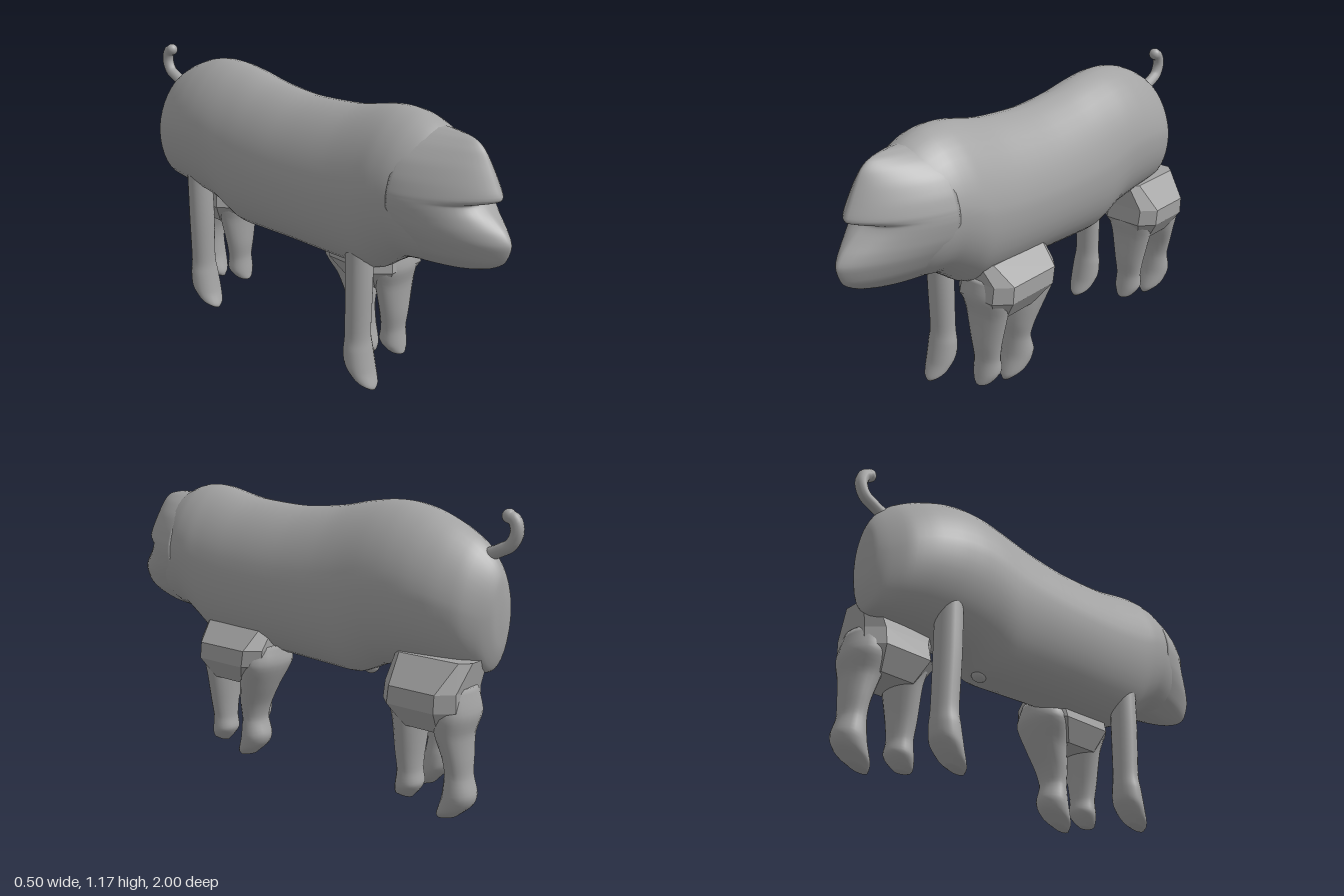
import * as THREE from 'three';

const hide = new THREE.MeshStandardMaterial({ color: 0xa3a3a3 });
hide.name = 'grey hide';
const V = (x, y, z) => new THREE.Vector3(x, y, z);
const CX = -0.013; // the trunk sits slightly off centre

// Refine key rings with a smooth curve down every column.
function refine(rows, n) {
  const columns = rows[0].map((_, i) => new THREE.CatmullRomCurve3(rows.map(r => r[i]), false, 'catmullrom', 0.4));
  return Array.from({ length: n + 1 }, (_, k) => columns.map(c => c.getPoint(k / n)));
}

// Skin closed rings, cap both ends, and turn the faces outward.
function skin(rows, flat = false) {
  const n = rows[0].length;
  const pts = rows.flat();
  const idx = [];
  for (let j = 0; j < rows.length - 1; j++) {
    for (let i = 0; i < n; i++) {
      const a = j * n + i, b = j * n + (i + 1) % n;
      idx.push(a, b, a + n, b, b + n, a + n);
    }
  }
  for (const [j, first] of [[0, true], [rows.length - 1, false]]) {
    const c = pts.length;
    pts.push(rows[j].reduce((s, p) => s.add(p), V(0, 0, 0)).divideScalar(n));
    for (let i = 0; i < n; i++) {
      const a = j * n + i, b = j * n + (i + 1) % n;
      idx.push(...(first ? [c, b, a] : [c, a, b]));
    }
  }
  const mid = pts.reduce((s, p) => s.add(p), V(0, 0, 0)).divideScalar(pts.length);
  let volume = 0;
  for (let i = 0; i < idx.length; i += 3) {
    const [a, b, c] = [0, 1, 2].map(k => pts[idx[i + k]].clone().sub(mid));
    volume += a.dot(b.cross(c));
  }
  if (volume < 0) idx.reverse();
  let geo = new THREE.BufferGeometry().setFromPoints(pts);
  geo.setIndex(idx);
  if (flat) geo = geo.toNonIndexed();
  geo.computeVertexNormals();
  return geo;
}

function add(group, name, geo) {
  const mesh = new THREE.Mesh(geo, hide);
  mesh.name = name;
  group.add(mesh);
}

// Trunk: egg-shaped sections [z, top, bottom, half width].
function trunk() {
  const keys = [
    [0.76, 0.98, 0.74, 0.08], [0.73, 1.09, 0.65, 0.16], [0.66, 1.14, 0.62, 0.2],
    [0.58, 1.17, 0.605, 0.222], [0.5, 1.178, 0.555, 0.234], [0.42, 1.17, 0.505, 0.237],
    [0.25, 1.135, 0.495, 0.239], [0, 1.12, 0.49, 0.24], [-0.2, 1.137, 0.48, 0.24],
    [-0.33, 1.162, 0.478, 0.24], [-0.45, 1.177, 0.53, 0.239], [-0.55, 1.175, 0.55, 0.237],
    [-0.65, 1.152, 0.56, 0.228], [-0.75, 1.11, 0.565, 0.205], [-0.84, 1.055, 0.565, 0.165],
    [-0.9, 0.99, 0.58, 0.11], [-0.93, 0.93, 0.66, 0.065], [-0.94, 0.85, 0.76, 0.015]];
  const rows = keys.map(([z, top, bottom, w]) => {
    const mid = bottom + (top - bottom) * 0.5;
    return Array.from({ length: 40 }, (_, i) => {
      const a = i / 40 * Math.PI * 2, c = Math.cos(a), s = Math.sin(a);
      const p = s > 0 ? 2 / 1.75 : 0.97;
      return V(CX + w * Math.sign(c) * Math.abs(c) ** p,
        mid + (top - bottom) / 2 * Math.sign(s) * Math.abs(s) ** p, z);
    });
  });
  return skin(refine(rows, 68));
}

// Head: level slices [y, front z, half width, mouth notch depth].
function head() {
  const keys = [
    [0.615, 0.72, 0.04, 0], [0.63, 0.83, 0.07, 0], [0.66, 0.92, 0.105, 0], [0.7, 0.978, 0.145, 0],
    [0.765, 1, 0.185, 0], [0.81, 0.985, 0.205, 0.012], [0.85, 0.97, 0.214, 0.045],
    [0.88, 0.96, 0.218, 0.075], [0.9, 0.955, 0.218, 0.085], [0.912, 0.95, 0.217, 0.03],
    [0.93, 0.945, 0.214, 0], [0.98, 0.922, 0.198, 0], [1.04, 0.89, 0.165, 0],
    [1.09, 0.86, 0.115, 0], [1.12, 0.82, 0.065, 0], [1.134, 0.75, 0.025, 0]];
  const rows = keys.map(([y, front, w, notch]) => {
    const ring = [];
    for (let i = 0; i <= 28; i++) {
      const a = (i / 28 - 0.5) * Math.PI, c = Math.max(0, Math.cos(a)), s = Math.sin(a);
      ring.push(V(CX + w * Math.sign(s) * Math.abs(s) ** 1.4, y,
        0.6 + (front - 0.6) * c ** 1.4 - notch * c ** 5));
    }
    ring.push(V(CX + w * 0.5, y, 0.56), V(CX - w * 0.5, y, 0.56));
    return ring;
  });
  return skin(refine(rows, 60));
}

// Limb: oval rings [y, x, z, x radius, z radius, toe tilt].
function limb(keys, dz = 0) {
  const rows = keys.map(([y, x, z, rx, rz, tilt = 0]) => Array.from({ length: 20 }, (_, i) => {
    const a = i / 20 * Math.PI * 2;
    return V(x + rx * Math.cos(a), y - tilt * Math.sin(a), z + dz + rz * Math.sin(a));
  }));
  return skin(refine(rows, 32));
}

// Faceted block where a pair of limbs meets the trunk: [y, x0, x1, z0, z1].
function block(keys) {
  return skin(keys.map(([y, x0, x1, z0, z1]) => {
    const b = Math.min(x1 - x0, z1 - z0) * 0.2;
    return [V(x1, y, z0 + b), V(x1, y, z1 - b), V(x1 - b, y, z1), V(x0 + b, y, z1),
      V(x0, y, z1 - b), V(x0, y, z0 + b), V(x0 + b, y, z0), V(x1 - b, y, z0)];
  }), true);
}

export function createModel() {
  const model = new THREE.Group();
  model.name = 'pig';
  add(model, 'trunk', trunk());
  add(model, 'head', head());

  // Curled tail with a round tip
  const curl = new THREE.CatmullRomCurve3([V(CX, 1.0, -0.85), V(CX, 1.025, -0.91), V(CX, 1.05, -0.955),
    V(CX, 1.095, -0.975), V(CX, 1.135, -0.965), V(CX, 1.15, -0.94)]);
  add(model, 'tail', new THREE.TubeGeometry(curl, 28, 0.025, 12));
  const tip = new THREE.SphereGeometry(0.026, 14, 10);
  tip.translate(CX, 1.15, -0.94);
  add(model, 'tailTip', tip);

  // Small bump under the belly
  const bump = new THREE.SphereGeometry(0.035, 16, 10);
  bump.translate(CX, 0.505, -0.35);
  add(model, 'bellyBump', bump);

  // Straight single legs on the right side
  const post = [[0.72, -0.13, 0.385, 0.058, 0.052], [0.45, -0.13, 0.387, 0.06, 0.052],
    [0.24, -0.13, 0.385, 0.057, 0.05], [0.17, -0.13, 0.388, 0.066, 0.055], [0.1, -0.13, 0.4, 0.068, 0.062, 0.02],
    [0.05, -0.13, 0.425, 0.054, 0.058, 0.025], [0.02, -0.13, 0.445, 0.025, 0.038, 0.01]];
  add(model, 'rightFrontLeg', limb(post));
  add(model, 'rightBackLeg', limb(post, -1));

  // Paired legs on the left side, joined under a faceted block
  const fore = [[0.54, 0.1, 0.355, 0.1, 0.07], [0.46, 0.1, 0.365, 0.118, 0.075], [0.38, 0.105, 0.365, 0.1, 0.06],
    [0.25, 0.105, 0.37, 0.073, 0.052], [0.17, 0.105, 0.368, 0.06, 0.047], [0.11, 0.105, 0.368, 0.062, 0.056, 0.01],
    [0.075, 0.105, 0.378, 0.042, 0.05, 0.012], [0.055, 0.105, 0.385, 0.018, 0.03]];
  const hoof = [[0.2, 0.105, 0.185, 0.066, 0.05], [0.12, 0.105, 0.18, 0.072, 0.065, 0.01],
    [0.06, 0.105, 0.2, 0.06, 0.07, 0.025], [0.02, 0.105, 0.23, 0.024, 0.04, 0.01]];
  const aft = [[0.54, 0.1, 0.12, 0.1, 0.08], [0.46, 0.1, 0.115, 0.13, 0.085],
    [0.36, 0.11, 0.15, 0.098, 0.078], [0.27, 0.107, 0.177, 0.078, 0.06], ...hoof];
  const hock = [[0.54, 0.1, -0.82, 0.1, 0.07], [0.44, 0.1, -0.83, 0.12, 0.082],
    [0.36, 0.11, -0.83, 0.098, 0.066], [0.27, 0.107, -0.845, 0.078, 0.052],
    ...hoof.map(([y, x, z, ...r]) => [y, x, z - 1.035, ...r])];
  add(model, 'leftFrontLegFore', limb(fore));
  add(model, 'leftFrontLegAft', limb(aft));
  add(model, 'leftBackLegFore', limb(fore, -1));
  add(model, 'leftBackLegAft', limb(hock));
  add(model, 'frontShoulderBlock', block([[0.61, -0.02, 0.17, 0.06, 0.43], [0.53, -0.03, 0.25, 0.06, 0.42],
    [0.46, -0.04, 0.25, 0.07, 0.43], [0.37, 0.01, 0.19, 0.15, 0.38]]));
  add(model, 'backHaunchBlock', block([[0.635, -0.02, 0.16, -0.9, -0.57], [0.53, -0.03, 0.25, -0.88, -0.57],
    [0.46, -0.04, 0.25, -0.88, -0.56], [0.37, 0.01, 0.19, -0.84, -0.62]]));
  return model;
}
